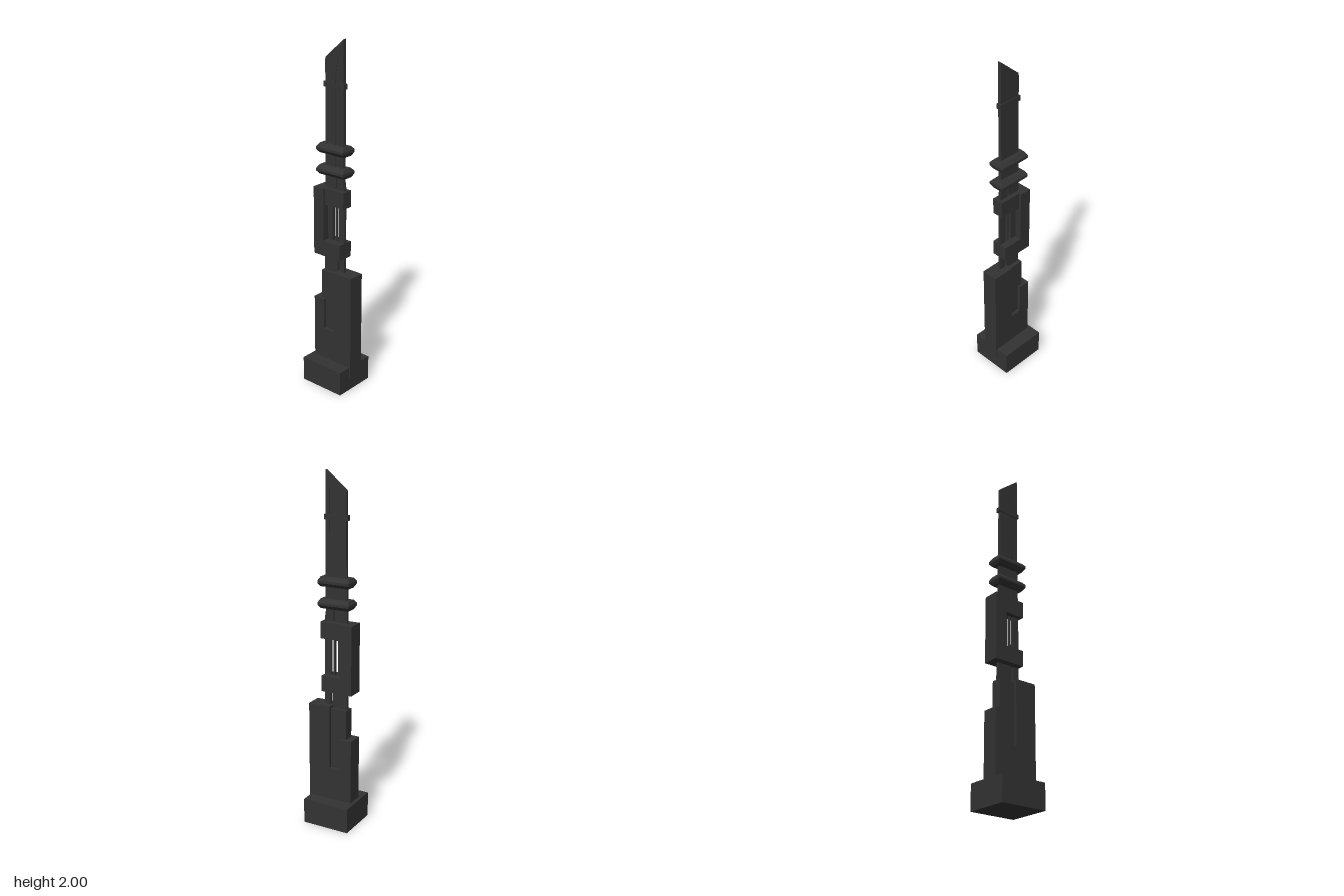
import * as THREE from 'three';

const darkMetal = new THREE.MeshStandardMaterial({ color: 0x333333 });
darkMetal.name = 'darkMetal';

export function createModel() {
  const model = new THREE.Group();

  const add = (name, geometry) => {
    const mesh = new THREE.Mesh(geometry, darkMetal);
    mesh.name = name;
    model.add(mesh);
    return mesh;
  };

  // Box given by its x and y limits and its half depth
  const block = (name, x0, x1, y0, y1, halfDepth) => {
    const mesh = add(name, new THREE.BoxGeometry(x1 - x0, y1 - y0, halfDepth * 2));
    mesh.position.set((x0 + x1) / 2, (y0 + y1) / 2, 0);
  };

  // Outline in x and y extruded evenly about z = 0
  const plate = (name, points, halfDepth, holes = []) => {
    const toVectors = (list) => list.map(([x, y]) => new THREE.Vector2(x, y));
    const shape = new THREE.Shape(toVectors(points));
    for (const hole of holes) shape.holes.push(new THREE.Path(toVectors(hole)));
    const geometry = new THREE.ExtrudeGeometry(shape, { depth: halfDepth * 2, bevelEnabled: false });
    add(name, geometry.translate(0, 0, -halfDepth));
  };

  // Pommel block
  block('pommel', -0.145, 0.135, 0, 0.145, 0.127);

  // Stepped grip with an open slot and an overhanging right edge
  plate('grip', [
    [-0.125, 0.1], [0.133, 0.1], [0.133, 0.08], [0.143, 0.08], [0.143, 0.705], [0.012, 0.705],
    [0.012, 0.335], [-0.055, 0.335], [-0.055, 0.52], [-0.125, 0.52],
  ], 0.048);

  // Recessed core standing in the slot
  plate('gripCore', [
    [-0.055, 0.335], [0.012, 0.335], [0.012, 0.69], [-0.085, 0.69], [-0.085, 0.52], [-0.055, 0.52],
  ], 0.03);

  // Blade: wide and narrow rails joined under a slanted tip
  plate('blade', [
    [-0.08, 0.6], [0.062, 0.6], [0.062, 1.2], [0.055, 1.25], [0.055, 2], [-0.07, 1.895], [-0.075, 1.25],
  ], 0.008, [
    [[0.014, 0.69], [0.026, 0.69], [0.026, 0.86], [0.014, 0.86]],
    [[-0.02, 0.88], [-0.002, 0.88], [-0.002, 1.1], [-0.02, 1.1]],
    [[0.008, 0.88], [0.022, 0.88], [0.022, 1.1], [0.008, 1.1]],
    [[0, 1.19], [0.008, 1.19], [0.008, 1.27], [0, 1.27]],
  ]);

  // Raised rails leave a shallow channel with a pointed end
  plate('bladeFace', [
    [-0.07, 1.2], [0.002, 1.2], [0.002, 1.82], [0.018, 1.91], [0.032, 1.9],
    [0.036, 1.2], [0.055, 1.2], [0.055, 1.99], [-0.07, 1.885],
  ], 0.01);

  // Clamp around the middle of the blade
  plate('clamp', [
    [-0.125, 0.79], [0.062, 0.79], [0.062, 0.88], [-0.055, 0.88], [-0.055, 1.185], [-0.125, 1.185],
  ], 0.048);
  block('clampCap', -0.055, 0.075, 1.09, 1.185, 0.033);

  // Two bevelled rings: rectangular cross-sections stacked upward
  for (const y of [1.287, 1.408]) {
    const sections = [[-0.027, 0.085, 0.03], [-0.007, 0.095, 0.048], [0.007, 0.095, 0.048], [0.027, 0.085, 0.03]];
    const corners = [[-1, 1], [1, 1], [1, -1], [-1, -1]];
    const positions = [];
    const index = [];
    for (const [dy, hx, hz] of sections) {
      for (const [sx, sz] of corners) positions.push(-0.01 + sx * hx, y + dy, sz * hz);
    }
    for (let s = 0; s < 3; s++) {
      for (let c = 0; c < 4; c++) {
        const a = s * 4 + c, b = s * 4 + ((c + 1) % 4);
        index.push(a, b, b + 4, a, b + 4, a + 4);
      }
    }
    index.push(0, 2, 1, 0, 3, 2, 12, 13, 14, 12, 14, 15);
    let geometry = new THREE.BufferGeometry();
    geometry.setAttribute('position', new THREE.Float32BufferAttribute(positions, 3));
    geometry.setIndex(index);
    geometry = geometry.toNonIndexed();
    geometry.computeVertexNormals();
    add('ring', geometry);
  }

  // Thin collar near the tip
  block('collar', -0.08, 0.062, 1.74, 1.768, 0.014);

  return model;
}
